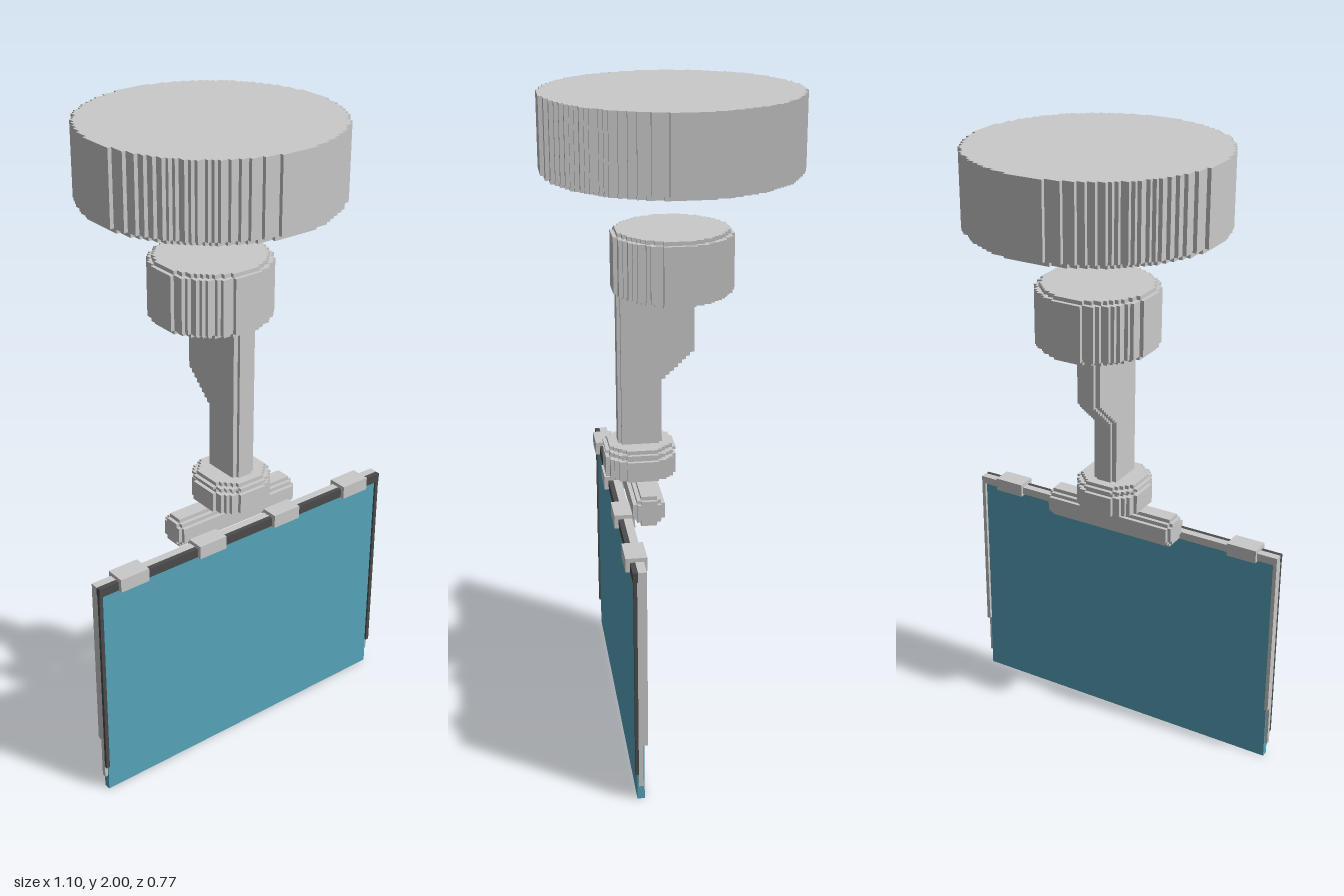
import * as THREE from 'three';

const U = 0.012; // step size of the blocky outlines

const gray = new THREE.MeshStandardMaterial({ color: 0xcacaca });
gray.name = 'light gray';
const dark = new THREE.MeshStandardMaterial({ color: 0x4c4c4c });
dark.name = 'dark gray';
const teal = new THREE.MeshStandardMaterial({ color: 0x57a6bd });
teal.name = 'teal';

// Circle outline with stair-stepped edges, radius given in steps
function steppedCircle(r) {
  const n = Math.ceil(r);
  const right = [];
  for (let j = -n; j < n; j++) {
    const h = Math.sqrt(Math.max(0, r * r - (j + 0.5) ** 2));
    const w = Math.floor(h + 0.5) * U;
    if (w > 0) right.push([w, j * U], [w, (j + 1) * U]);
  }
  const left = right.map(([x, y]) => [-x, y]).reverse();
  return new THREE.Shape([...right, ...left].map(([x, y]) => new THREE.Vector2(x, y)));
}

function extrude(shape, depth) {
  return new THREE.ExtrudeGeometry(shape, { depth, bevelEnabled: false });
}

// Upright disc from y0 to y1
function disc(name, r, y0, y1, z = 0) {
  const geometry = extrude(steppedCircle(r), y1 - y0).rotateX(-Math.PI / 2);
  const mesh = new THREE.Mesh(geometry, gray);
  mesh.name = name;
  mesh.position.set(0, y0, z);
  return mesh;
}

// Box given by its limits on each axis
function block(name, material, [x0, x1], [y0, y1], [z0, z1]) {
  const mesh = new THREE.Mesh(new THREE.BoxGeometry(x1 - x0, y1 - y0, z1 - z0), material);
  mesh.name = name;
  mesh.position.set((x0 + x1) / 2, (y0 + y1) / 2, (z0 + z1) / 2);
  return mesh;
}

// Bar along x, centred on x = 0, from a (z, y) outline
function barX(name, shape, halfWidth) {
  const geometry = extrude(shape, halfWidth * 2).translate(0, 0, -halfWidth).rotateY(-Math.PI / 2);
  const mesh = new THREE.Mesh(geometry, gray);
  mesh.name = name;
  return mesh;
}

// Side outline of the arm with a stepped slope at the back
function armOutline(inset) {
  const points = [[0.17 - inset, 0.92], [0.17 - inset, 1.42], [-0.065 + inset, 1.42]];
  const steps = 8;
  for (let i = 0; i < steps; i++) {
    const z = -0.065 + inset + i * 0.0125;
    const y = 1.22 + inset * 0.4 - i * 0.0117;
    points.push([z, y], [z + 0.0125, y]);
  }
  points.push([0.035 + inset, 0.92]);
  return new THREE.Shape(points.map(([z, y]) => new THREE.Vector2(z, y)));
}

export function createModel() {
  const model = new THREE.Group();
  model.name = 'hangingScreen';

  // Ceiling drum
  model.add(disc('ceilingDrum', 31.9, 1.777, 2));
  model.add(disc('ceilingDrumLip', 31, 1.765, 1.777));

  // Upper collar
  model.add(disc('collarBottom', 14, 1.405, 1.417));
  model.add(disc('collar', 15, 1.417, 1.588));
  model.add(disc('collarTop', 14, 1.588, 1.6));

  // Arm: full core and slightly inset cheeks
  model.add(barX('armCore', armOutline(0), 0.024));
  model.add(barX('armCheeks', armOutline(0.01), 0.039));

  // Swivel under the arm
  const swivelZ = 0.103;
  model.add(disc('swivelBase', 9.5, 0.837, 0.9, swivelZ));
  model.add(disc('swivelNeck', 8.4, 0.9, 0.914, swivelZ));
  model.add(disc('swivelFlange', 9.5, 0.914, 0.922, swivelZ));
  model.add(disc('swivelTop', 8.4, 0.922, 0.934, swivelZ));

  // Hinge barrel
  const hinge = new THREE.Group();
  hinge.name = 'hinge';
  hinge.add(barX('hingeBarrel', steppedCircle(4), 0.214));
  hinge.add(barX('hingeCaps', steppedCircle(3), 0.225));
  hinge.position.set(0, 0.787, 0.1);
  model.add(hinge);

  // Screen panel
  model.add(block('screen', teal, [-0.54, 0.54], [0, 0.74], [0.16, 0.182]));

  // Frame: gray back and dark front along the top
  model.add(block('topRail', gray, [-0.55, 0.55], [0.733, 0.758], [0.15, 0.175]));
  model.add(block('topTrim', dark, [-0.55, 0.55], [0.728, 0.757], [0.175, 0.19]));

  // Frame sides
  for (const s of [-1, 1]) {
    const span = s > 0 ? [0.538, 0.55] : [-0.55, -0.538];
    model.add(block('sideRail', gray, span, [0.19, 0.733], [0.15, 0.178]));
    model.add(block('sideRailFoot', gray, span, [0.05, 0.19], [0.164, 0.178]));
    model.add(block('sideTrim', dark, span, [0.09, 0.728], [0.178, 0.188]));
  }

  // Clips over the top rail
  for (const x of [-0.433, -0.145, 0.145, 0.433]) {
    model.add(block('clip', gray, [x - 0.05, x + 0.05], [0.727, 0.77], [0.14, 0.203]));
  }

  return model;
}
